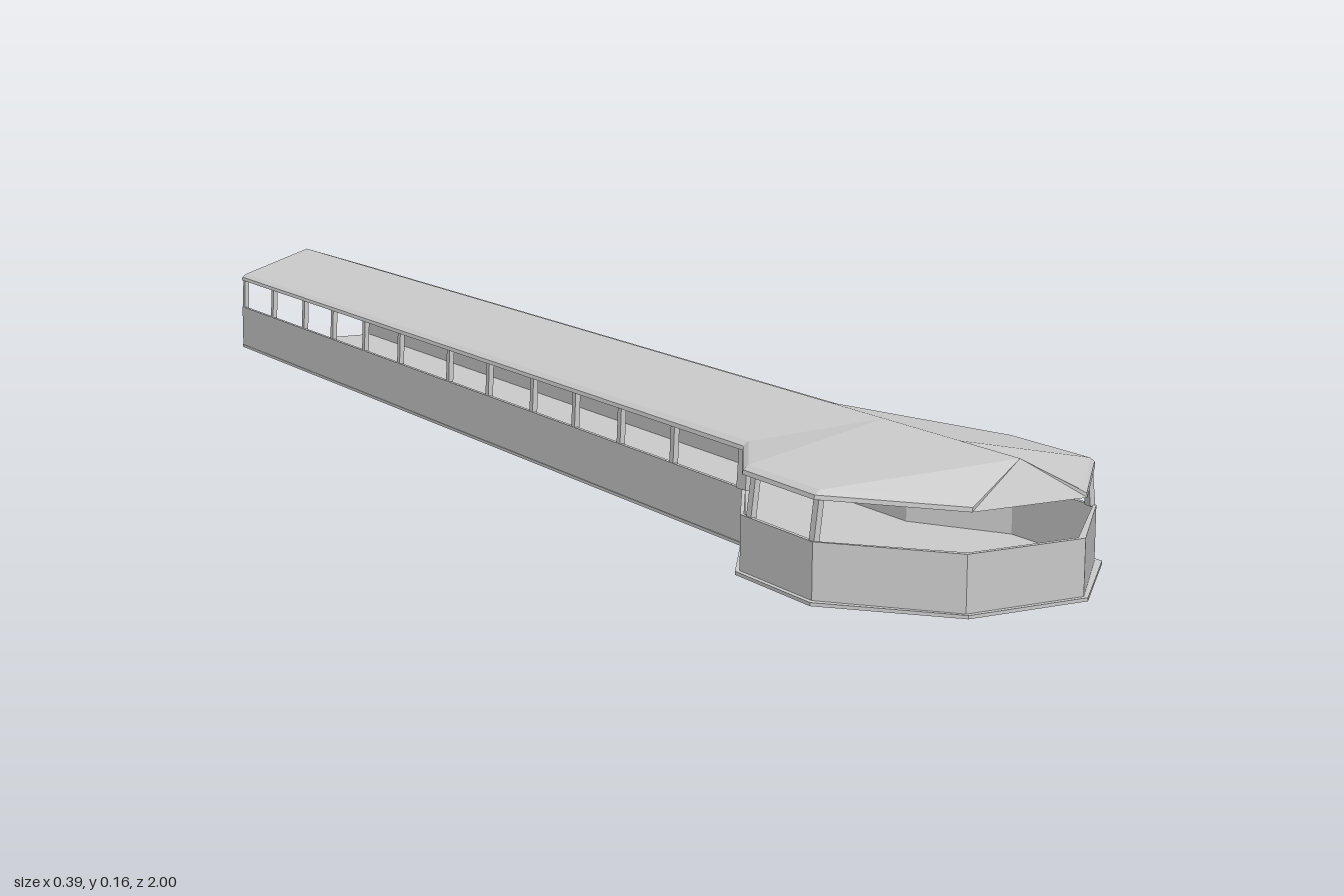
import * as THREE from 'three';

const material = new THREE.MeshStandardMaterial({ color: 0xcccccc, flatShading: true, side: THREE.DoubleSide });

// Plan outline of the left half, back to front, as [x, z]
const half = [[0.118, -1], [0.118, 0.612], [0.189, 0.725], [0.189, 0.872], [0.077, 0.994]];
const mirrored = (pts) => [...pts, ...pts.map(([x, z]) => [-x, z]).reverse()];

function add(group, name, geometry) {
  const mesh = new THREE.Mesh(geometry, material);
  mesh.name = name;
  group.add(mesh);
  return mesh;
}

// Extrudes an x/z plan between two heights
function slab(plan, y0, y1) {
  const shape = new THREE.Shape(plan.map(([x, z]) => new THREE.Vector2(x, z)));
  const geo = new THREE.ExtrudeGeometry(shape, { depth: y1 - y0, bevelEnabled: false });
  return geo.rotateX(Math.PI / 2).translate(0, y1, 0);
}

// Roof skin lofted through gabled sections with a bevelled eave
function roofGeometry() {
  const stations = [[-1, 0.118], [0.612, 0.118], [0.725, 0.187], [0.87, 0.187], [0.997, 0.075]];
  const sections = stations.map(([z, x], i) => {
    const tip = i === stations.length - 1;
    const ridgeZ = tip ? 0.977 : z;
    const shoulderZ = tip ? z - 0.004 : z;
    const side = (s) => [[s * x, 0.113, z], [s * (x - 0.001), 0.118, z], [s * (x - 0.008), 0.123, shoulderZ]];
    return [...side(1), [0, 0.159, ridgeZ], ...side(-1).reverse()];
  });
  const n = sections[0].length;
  const index = [];
  for (let i = 0; i < sections.length - 1; i++) {
    for (let j = 0; j < n - 1; j++) {
      const a = i * n + j, b = a + n;
      index.push(a, a + 1, b, a + 1, b + 1, b);
    }
  }
  // Front hip, fanned from the ridge
  const last = (sections.length - 1) * n, ridge = last + 3;
  for (let j = 0; j < n; j++) {
    const a = last + j, b = last + (j + 1) % n;
    if (a !== ridge && b !== ridge) index.push(ridge, b, a);
  }
  // The fan runs clockwise in plan order, so face it forward
  for (let k = index.length - (n - 2) * 3; k < index.length; k += 3) {
    [index[k + 1], index[k + 2]] = [index[k + 2], index[k + 1]];
  }
  const geo = new THREE.BufferGeometry();
  geo.setAttribute('position', new THREE.Float32BufferAttribute(sections.flat(2), 3));
  geo.setIndex(index);
  const flat = geo.toNonIndexed();
  flat.computeVertexNormals();
  return flat;
}

// Post leaning inward from the parapet to the eave
function post(group, name, x, z, lean, leanZ, width) {
  const geo = new THREE.BoxGeometry(0.007, 0.05, width);
  const p = geo.attributes.position;
  for (let i = 0; i < p.count; i++) {
    if (p.getY(i) > 0) {
      p.setX(i, p.getX(i) - lean * Math.sign(x));
      p.setZ(i, p.getZ(i) + leanZ);
    }
  }
  geo.computeVertexNormals();
  add(group, name, geo).position.set(x, 0.092, z);
}

export function createModel() {
  const model = new THREE.Group();
  model.name = 'coveredWalkway';

  // Floor, slightly wider than the walls around the pavilion
  const floorHalf = half.map(([x, z]) => [x > 0.15 ? 0.195 : x + 0.001, Math.min(z + (z > 0.8 ? 0.006 : 0), 1)]);
  add(model, 'floor', slab(mirrored(floorHalf), 0, 0.004));

  // Parapet: a thin wall following the plan, open at the back
  const inner = half.map(([x, z], i) => [x - 0.005, i === 4 ? z - 0.006 : z]);
  add(model, 'parapet', slab([...mirrored(half), ...mirrored(inner).reverse()], 0.004, 0.068));

  add(model, 'roof', roofGeometry());

  // Posts along the walkway and at the pavilion corners
  const posts = new THREE.Group();
  posts.name = 'posts';
  model.add(posts);
  const walkwayPosts = [0.447, 0.314, 0.192, 0.072, -0.062, -0.19, -0.36, -0.49, -0.614, -0.732, -0.866, -0.995];
  for (const s of [1, -1]) {
    for (const z of walkwayPosts) post(posts, 'walkwayPost', s * 0.114, z, 0.002, 0, 0.009);
    post(posts, 'junctionPost', s * 0.116, 0.612, 0.003, 0, 0.02);
    post(posts, 'pavilionPost', s * 0.184, 0.74, 0.006, 0, 0.01);
    post(posts, 'pavilionPost', s * 0.184, 0.867, 0.006, 0, 0.01);
  }
  return model;
}
